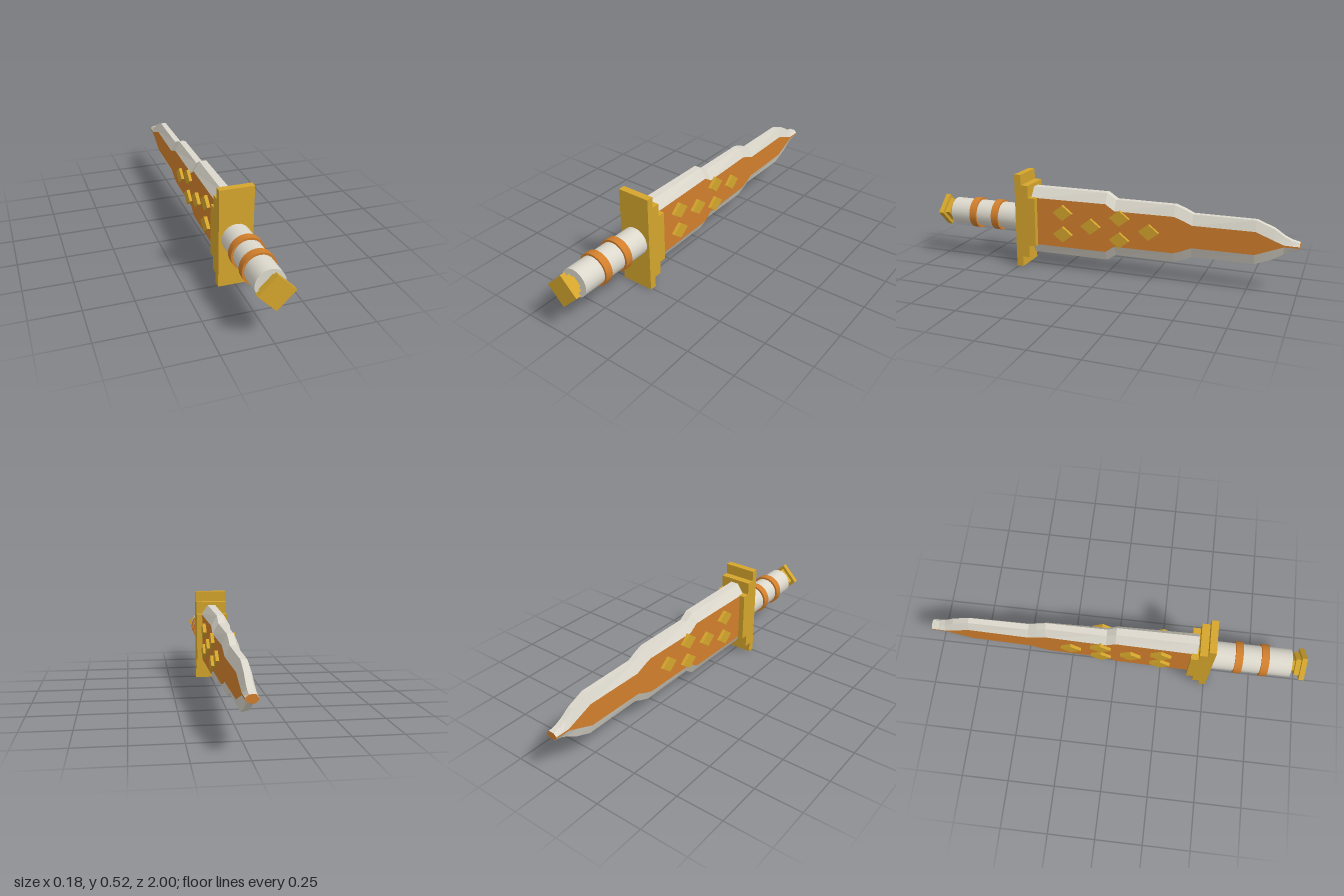
import * as THREE from 'three';

const AXIS = 0.26; // height of the long axis

export function createModel() {
  const gold = new THREE.MeshStandardMaterial({ color: 0xd4a52c });
  gold.name = 'gold';
  const orange = new THREE.MeshStandardMaterial({ color: 0xd27f2c });
  orange.name = 'orange';
  const ivory = new THREE.MeshStandardMaterial({ color: 0xdcd8cc });
  ivory.name = 'ivory';

  const model = new THREE.Group();
  model.name = 'dagger';
  const add = (name, geometry, material, x = 0, y = AXIS, z = 0) => {
    const mesh = new THREE.Mesh(geometry, material);
    mesh.name = name;
    mesh.position.set(x, y, z);
    model.add(mesh);
    return mesh;
  };

  // Pommel: three stepped squares standing on a corner
  [[0.089, 0.973, 1.0], [0.065, 0.946, 0.973], [0.04, 0.915, 0.946]].forEach(([r, z0, z1], i) => {
    const side = r * Math.SQRT2;
    add('pommelStep' + (i + 1), new THREE.BoxGeometry(side, side, z1 - z0), gold, 0, AXIS, (z0 + z1) / 2)
      .rotation.z = Math.PI / 4;
  });

  // Grip with two raised rings
  const rod = (r, length) => new THREE.CylinderGeometry(r, r, length, 24).rotateX(Math.PI / 2);
  add('grip', rod(0.074, 0.425), ivory, 0, AXIS, 0.7125);
  add('gripRingRear', rod(0.085, 0.04), orange, 0, AXIS, 0.784);
  add('gripRingFront', rod(0.085, 0.04), orange, 0, AXIS, 0.648);

  // Stepped cross guard
  [[0.52, 0.473, 0.51], [0.405, 0.432, 0.473], [0.27, 0.393, 0.432]].forEach(([h, z0, z1], i) => {
    add('guardStep' + (i + 1), new THREE.BoxGeometry(0.176, h, z1 - z0), gold, 0, AXIS, (z0 + z1) / 2);
  });

  // Blade sections: z, outer half height, half height of the flat, half thickness, half edge width
  const sections = [
    [0.425, 0.186, 0.132, 0.058, 0.022],
    [0.0, 0.186, 0.132, 0.050, 0.019],
    [-0.05, 0.153, 0.098, 0.049, 0.018],
    [-0.37, 0.153, 0.098, 0.042, 0.017],
    [-0.42, 0.135, 0.08, 0.041, 0.016],
    [-0.465, 0.114, 0.06, 0.040, 0.016],
    [-0.785, 0.114, 0.06, 0.034, 0.015],
    [-0.875, 0.078, 0.024, 0.032, 0.015],
    [-0.925, 0.044, 0.005, 0.031, 0.015],
    [-0.96, 0.028, 0.004, 0.030, 0.015],
    [-1.0, 0.019, 0.004, 0.029, 0.015],
  ].map(([z, o, i, w, e]) =>
    [[w, -i], [w, i], [e, o], [-e, o], [-w, i], [-w, -i], [-e, -o], [e, -o]].map(([x, y]) => [x, y, z]));

  const bevels = [];
  const flats = [];
  for (let s = 0; s < sections.length - 1; s++) {
    const cur = sections[s];
    const next = sections[s + 1];
    for (let j = 0; j < 8; j++) {
      const k = (j + 1) % 8;
      (j % 4 === 0 ? flats : bevels).push(cur[j], next[j], next[k], cur[j], next[k], cur[k]);
    }
  }
  // End caps
  const first = sections[0];
  const last = sections[sections.length - 1];
  for (let j = 1; j < 7; j++) {
    bevels.push(first[0], first[j], first[j + 1]);
    flats.push(last[0], last[j + 1], last[j]);
  }
  const toGeometry = (points) => {
    const geometry = new THREE.BufferGeometry();
    geometry.setAttribute('position', new THREE.Float32BufferAttribute(points.flat(), 3));
    geometry.computeVertexNormals();
    return geometry;
  };
  add('bladeEdges', toGeometry(bevels), ivory);
  add('bladeFlats', toGeometry(flats), orange);

  // Diamond studs running through the blade: z, y, half thickness
  const diamond = new THREE.Shape([[0.055, 0], [0, 0.043], [-0.055, 0], [0, -0.043]]
    .map(([a, b]) => new THREE.Vector2(a, b)));
  [[0.24, 0.324, 0.073], [0.24, 0.204, 0.073], [0.08, 0.264, 0.07],
    [-0.08, 0.324, 0.065], [-0.08, 0.204, 0.065], [-0.24, 0.264, 0.061]].forEach(([z, y, half], i) => {
    const geometry = new THREE.ExtrudeGeometry(diamond, { depth: half * 2, bevelEnabled: false });
    geometry.translate(0, 0, -half).rotateY(Math.PI / 2);
    add('bladeStud' + (i + 1), geometry, gold, 0, y, z);
  });

  return model;
}
